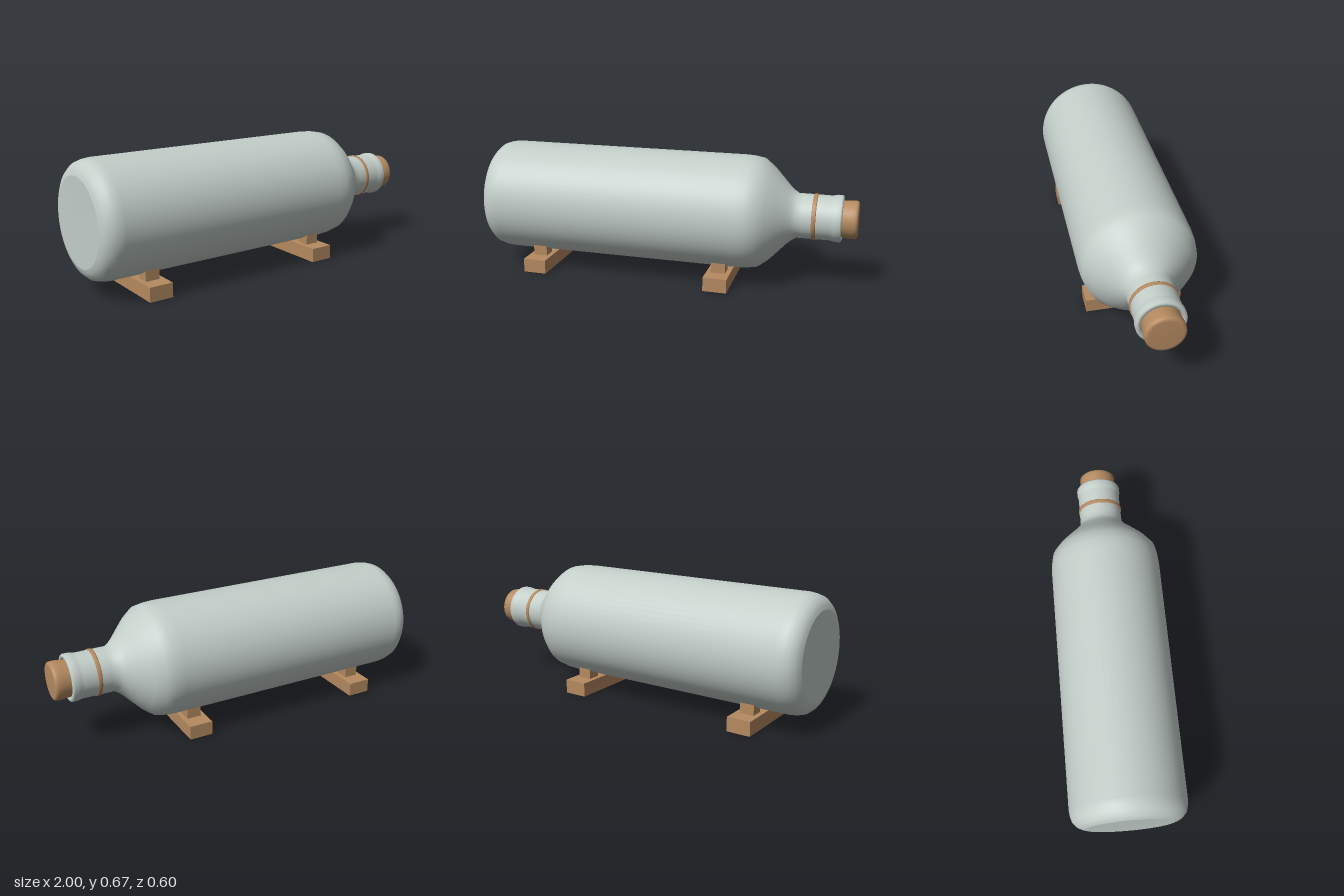
import * as THREE from 'three';

const AXIS_Y = 0.374;

export function createModel() {
  const model = new THREE.Group();
  const glass = new THREE.MeshStandardMaterial({ color: 0xc3cec9 });
  glass.name = 'pale glass';
  const wood = new THREE.MeshStandardMaterial({ color: 0xb58a60 });
  wood.name = 'tan wood';

  const add = (name, geometry, material, parent = model) => {
    const mesh = new THREE.Mesh(geometry, material);
    mesh.name = name;
    parent.add(mesh);
    return mesh;
  };

  // Turned part lying along x; a profile is a list of [x, radius], repeated points make a crease
  const turned = (name, profile, material) => {
    const points = profile.map(([x, r]) => new THREE.Vector2(r, x));
    const geometry = new THREE.LatheGeometry(points, 64);
    geometry.rotateZ(-Math.PI / 2);
    return add(name, geometry, material).position.set(0, AXIS_Y, 0);
  };

  // Bottle: flat base, straight body, sloping shoulder, neck and rolled lip
  turned('bottle', [
    [-0.998, 0], [-1, 0.225], [-1, 0.225], [-0.994, 0.245], [-0.983, 0.266],
    [-0.96, 0.287], [-0.93, 0.296], [-0.9, 0.3], [0.4, 0.3], [0.45, 0.297],
    [0.5, 0.288], [0.55, 0.25], [0.6, 0.198], [0.64, 0.155], [0.665, 0.133],
    [0.69, 0.117], [0.72, 0.117], [0.86, 0.116], [0.875, 0.119], [0.89, 0.122],
    [0.912, 0.122], [0.918, 0.118], [0.921, 0.11], [0.918, 0.098], [0.9, 0.094],
  ], glass);

  // Band around the neck
  turned('neckBand', [
    [0.768, 0.114], [0.769, 0.119], [0.773, 0.121], [0.786, 0.121], [0.79, 0.119], [0.791, 0.114],
  ], wood);

  // Stopper with softly rounded end
  turned('cork', [
    [0.9, 0.094], [0.925, 0.095], [0.945, 0.097], [0.962, 0.099], [0.98, 0.099],
    [0.991, 0.097], [0.997, 0.091], [0.999, 0.08], [1, 0],
  ], wood);

  // Two cross beams, each with a pair of chocks under the body
  for (const [name, x] of [['rearCradle', -0.705], ['frontCradle', 0.307]]) {
    const cradle = new THREE.Group();
    cradle.name = name;
    cradle.position.x = x;
    model.add(cradle);
    add('beam', new THREE.BoxGeometry(0.126, 0.075, 0.512), wood, cradle).position.y = 0.0375;
    for (const side of [-1, 1]) {
      add('chock', new THREE.BoxGeometry(0.076, 0.055, 0.068), wood, cradle)
        .position.set(0, 0.1025, side * 0.139);
    }
  }
  return model;
}
